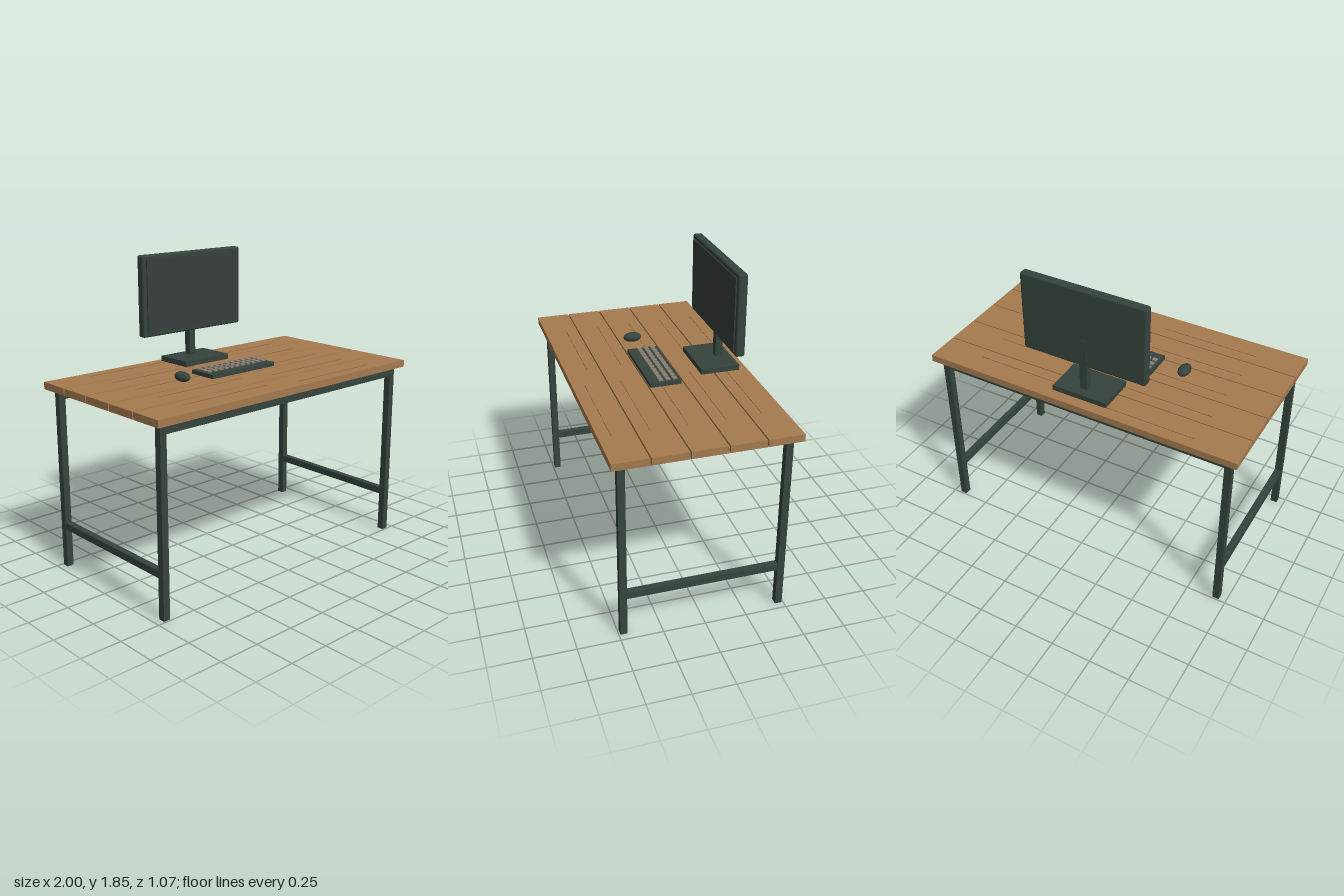
import * as THREE from 'three';
import { RoundedBoxGeometry } from 'three/addons/geometries/RoundedBoxGeometry.js';

export function createModel() {
  const root = new THREE.Group();
  root.name = 'desk';
  const mat = (name, color) => {
    const m = new THREE.MeshStandardMaterial({ color });
    m.name = name;
    return m;
  };
  const wood = mat('wood', 0xa57b4f);
  const grain = mat('wood grain', 0x8a6540);
  const metal = mat('dark green metal', 0x36443d);
  const screenMat = mat('screen', 0x363f3b);
  const keyMat = mat('keys', 0x8a8175);

  const add = (name, geometry, material, x, y, z, parent = root) => {
    const m = new THREE.Mesh(geometry, material);
    m.name = name;
    m.position.set(x, y, z);
    parent.add(m);
    return m;
  };
  // Box given by its minimum and maximum corners
  const box = (name, material, [x0, y0, z0], [x1, y1, z1], parent = root) =>
    add(name, new THREE.BoxGeometry(x1 - x0, y1 - y0, z1 - z0), material,
      (x0 + x1) / 2, (y0 + y1) / 2, (z0 + z1) / 2, parent);
  const group = (name) => {
    const g = new THREE.Group();
    g.name = name;
    root.add(g);
    return g;
  };

  // Table top: five planks with narrow gaps and fine grain lines
  const top = group('tableTop');
  for (let i = 0; i < 5; i++) {
    const z = (i - 2) * 0.215;
    box('plank', wood, [-1, 1.112, z - 0.1035], [1, 1.155, z + 0.1035], top);
    for (const s of [-1, 1])
      add('grainLine', new THREE.BoxGeometry(0.62, 0.002, 0.003), grain,
        s * 0.41, 1.156, z + s * 0.03, top);
  }

  // Frame: four legs, long top rails and low side rails
  const frame = group('frame');
  for (const sx of [-1, 1]) {
    for (const sz of [-1, 1])
      add('leg', new THREE.BoxGeometry(0.042, 1.112, 0.042), metal, sx * 0.935, 0.556, sz * 0.47, frame);
    add('sideRail', new THREE.BoxGeometry(0.04, 0.042, 0.9), metal, sx * 0.935, 0.265, 0, frame);
  }
  for (const sz of [-1, 1])
    add('longRail', new THREE.BoxGeometry(1.83, 0.042, 0.04), metal, 0, 1.075, sz * 0.47, frame);

  // Monitor: base, stem, rounded housing and screen panel
  const monitor = group('monitor');
  box('monitorBase', metal, [-0.175, 1.163, -0.475], [0.175, 1.196, -0.235], monitor);
  box('monitorStem', metal, [-0.023, 1.19, -0.421], [0.023, 1.53, -0.377], monitor);
  add('monitorHousing', new RoundedBoxGeometry(0.784, 0.496, 0.056, 2, 0.012), metal,
    0, 1.602, -0.39, monitor);
  box('screen', screenMat, [-0.365, 1.38, -0.363], [0.365, 1.825, -0.354], monitor);

  // Keyboard with three rows of keys
  const keyboard = group('keyboard');
  box('keyboardBody', metal, [-0.253, 1.162, -0.083], [0.253, 1.187, 0.105], keyboard);
  const keyGeo = new THREE.BoxGeometry(0.028, 0.012, 0.026);
  for (let r = 0; r < 3; r++)
    for (let c = 0; c < 11; c++)
      add('key', keyGeo, keyMat, (c - 5) * 0.0443, 1.19, -0.051 + r * 0.0425, keyboard);

  // Mouse
  const mouse = add('mouse', new THREE.SphereGeometry(1, 20, 12), metal, -0.42, 1.192, 0.027);
  mouse.scale.set(0.036, 0.03, 0.058);

  return root;
}
